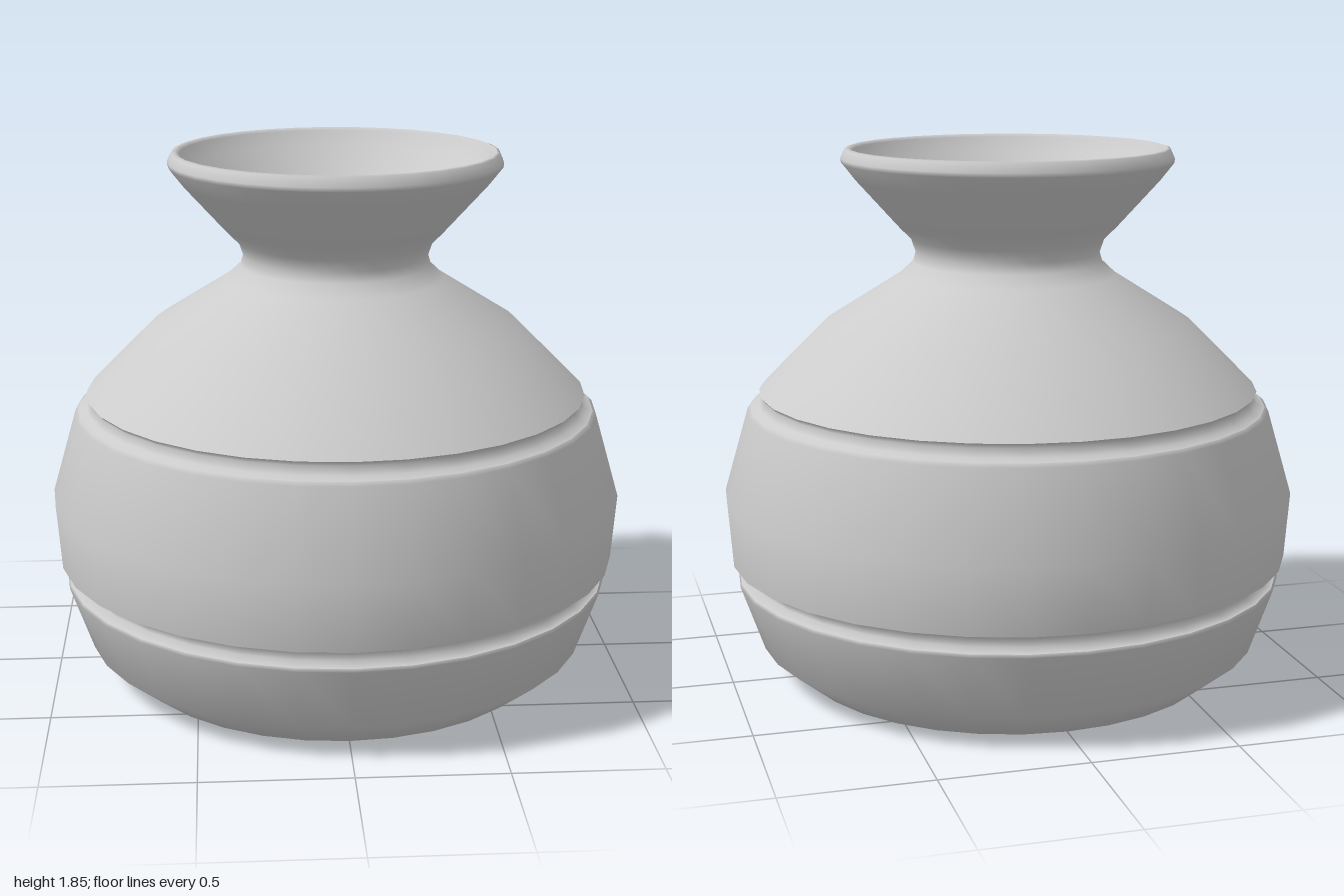
import * as THREE from 'three';

const SIDES = 32;
const material = new THREE.MeshStandardMaterial({ color: 0xcccccc });

// Turned section: smooth within itself, sharp where it meets the next one
function turned(name, profile) {
  const points = profile.map(([r, y]) => new THREE.Vector2(r, y));
  const mesh = new THREE.Mesh(new THREE.LatheGeometry(points, SIDES), material);
  mesh.name = name;
  return mesh;
}

export function createModel() {
  const vase = new THREE.Group();
  vase.name = 'vase';

  vase.add(
    // Flat underside and rounded lower wall
    turned('base', [[0, 0], [0.6, 0], [0.745, 0.003], [0.883, 0.115], [0.963, 0.345], [0.958, 0.356]]),
    // Recess between base and belly
    turned('lowerGroove', [[0.958, 0.356], [0.92, 0.368], [0.937, 0.408], [0.975, 0.418]]),
    // Wide middle band
    turned('belly', [[0.975, 0.418], [0.983, 0.422], [1.0, 0.65], [0.914, 0.945], [0.902, 0.957]]),
    // Recess between belly and shoulder
    turned('upperGroove', [[0.902, 0.957], [0.874, 0.968], [0.858, 0.995], [0.872, 1.012]]),
    // Shoulder, neck, flared lip and the shallow bowl inside the mouth
    turned('shoulderNeckAndMouth', [
      [0.872, 1.012], [0.64, 1.245], [0.378, 1.41], [0.33, 1.455], [0.32, 1.49],
      [0.335, 1.535], [0.38, 1.58], [0.525, 1.74], [0.572, 1.8], [0.574, 1.815],
      [0.56, 1.846], [0.548, 1.85], [0.532, 1.84], [0.51, 1.79], [0.35, 1.61],
      [0.27, 1.52], [0.2, 1.48], [0, 1.46],
    ]),
  );
  return vase;
}
